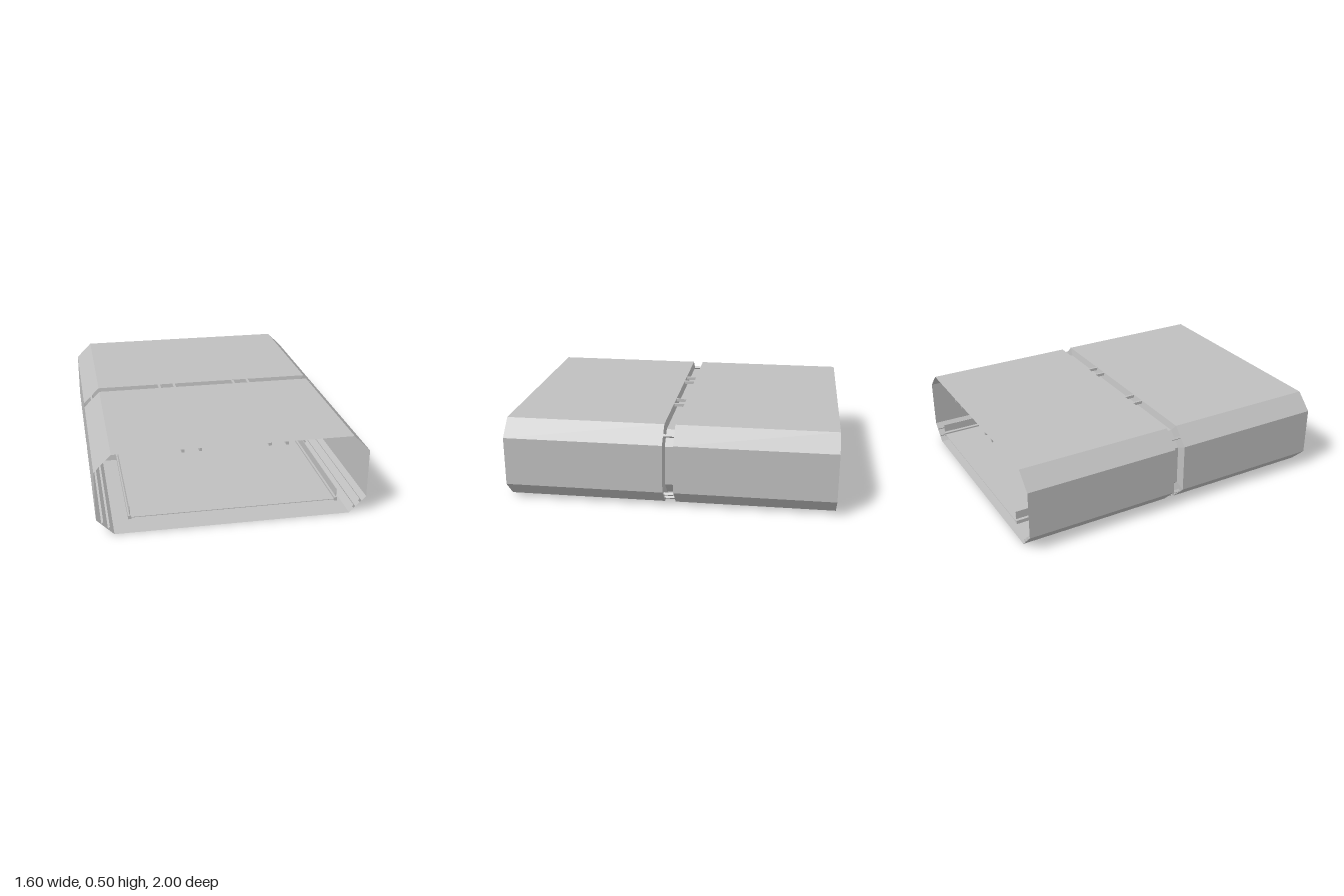
import * as THREE from 'three';

const hull = new THREE.MeshStandardMaterial({ color: 0xbfbfbf, side: THREE.DoubleSide });
hull.name = 'hull grey';

// Octagon with chamfered corners: half width, bottom, top, chamfer width and height
function octagon(w, y0, y1, cx, cy) {
  return [
    [w - cx, y0], [w, y0 + cy], [w, y1 - cy], [w - cx, y1],
    [cx - w, y1], [-w, y1 - cy], [-w, y0 + cy], [cx - w, y0],
  ];
}

// Flat-shaded open skin between two octagons
function skin(name, a, za, b, zb) {
  const pos = [];
  for (let i = 0; i < 8; i++) {
    const j = (i + 1) % 8;
    const p = [...a[i], za], q = [...a[j], za], r = [...b[j], zb], s = [...b[i], zb];
    pos.push(...p, ...r, ...q, ...p, ...s, ...r);
  }
  const geo = new THREE.BufferGeometry();
  geo.setAttribute('position', new THREE.Float32BufferAttribute(pos, 3));
  geo.computeVertexNormals();
  const mesh = new THREE.Mesh(geo, hull);
  mesh.name = name;
  return mesh;
}

export function createModel() {
  const group = new THREE.Group();
  group.name = 'corridorSection';

  const box = (name, w, h, d, x, y, roll = 0) => {
    const mesh = new THREE.Mesh(new THREE.BoxGeometry(w, h, d), hull);
    mesh.name = name;
    mesh.position.set(x, y, 0);
    mesh.rotation.z = roll;
    group.add(mesh);
  };

  // Two tunnel halves joined by a narrow recessed band
  const outer = octagon(0.8, 0, 0.5, 0.1, 0.1);
  const inner = octagon(0.743, 0.048, 0.455, 0.083, 0.082);
  group.add(
    skin('frontShell', outer, 1, outer, 0.033),
    skin('frontFlange', outer, 0.033, inner, 0.025),
    skin('jointBand', inner, 0.025, inner, -0.025),
    skin('backFlange', inner, -0.025, outer, -0.033),
    skin('backShell', outer, -0.033, outer, -1),
  );

  // Raised walkway
  box('deck', 1.2, 0.004, 2, 0, 0.1);

  for (const s of [-1, 1]) {
    // Deck rails and their kick plates
    box('deckRail', 0.018, 0.022, 2, s * 0.61, 0.1);
    box('kickPlate', 0.004, 0.05, 2, s * 0.61, 0.145);
    // Ceiling conduits
    for (const x of [0.2, 0.3]) box('ceilingConduit', 0.016, 0.018, 2, s * x, 0.49);
    // Pipes along the lower chamfers
    for (const t of [-0.018, 0.018]) {
      box('lowerPipe', 0.014, 0.016, 2, s * (0.743 + t), 0.057 + t, s * Math.PI / 4);
    }
    // Clips bridging the joint at the upper chamfers
    box('upperClip', 0.014, 0.016, 0.07, s * 0.745, 0.443, -s * Math.PI / 4);
  }
  return group;
}
